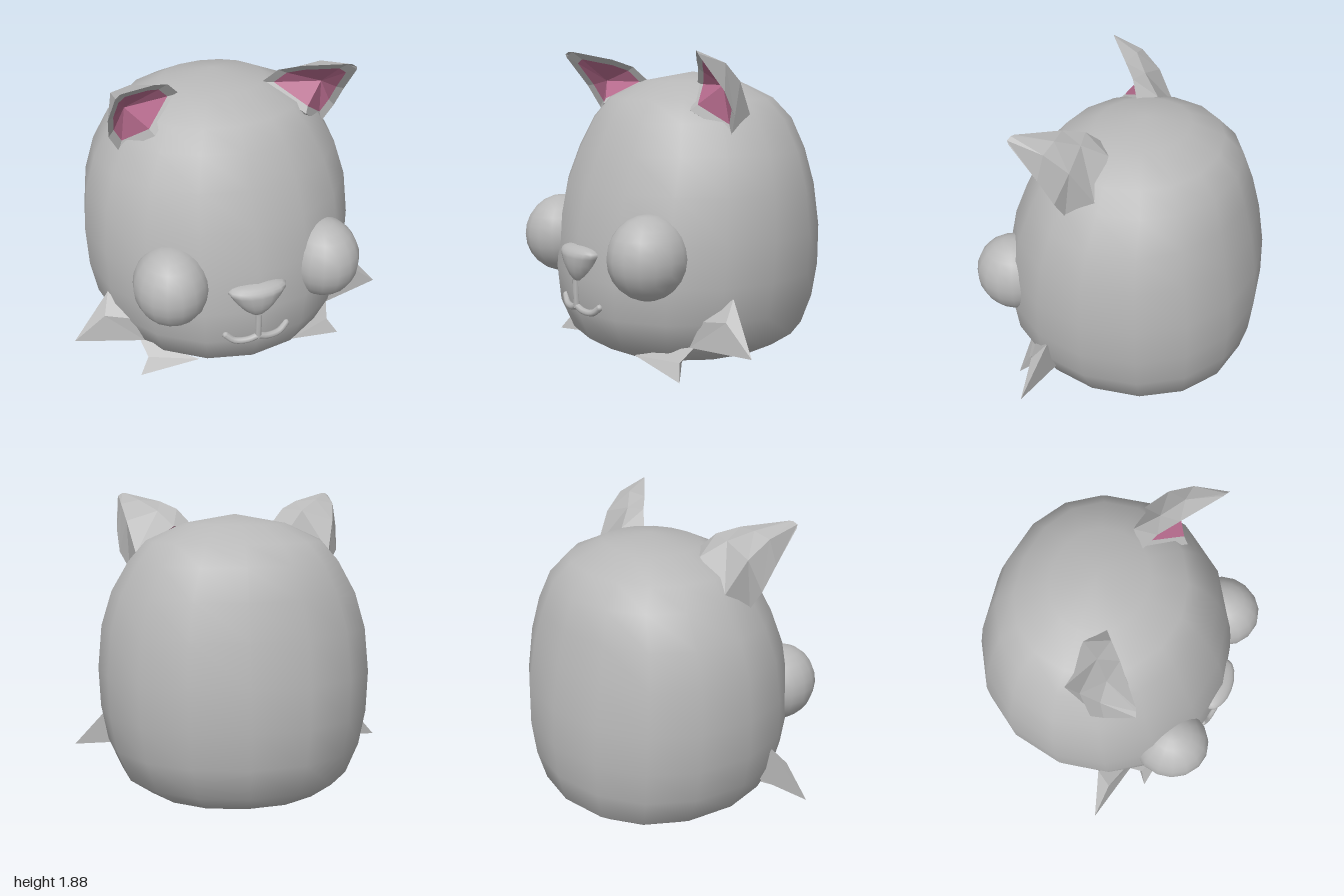
import * as THREE from 'three';

const grey = new THREE.MeshStandardMaterial({ color: 0xb8b8b8, side: THREE.DoubleSide });
grey.name = 'fur grey';
const pink = new THREE.MeshStandardMaterial({ color: 0xb56a8c, side: THREE.DoubleSide });
pink.name = 'ear pink';

function part(name, geometry, material = grey) {
  const mesh = new THREE.Mesh(geometry, material);
  mesh.name = name;
  return mesh;
}

// Flat-shaded triangles from corner points, mirrored in x when side is -1
function facets(triangles, side) {
  const pos = [];
  for (const t of triangles) {
    const corners = side > 0 ? t : [t[0], t[2], t[1]];
    for (const [x, y, z] of corners) pos.push(x * side, y, z);
  }
  const g = new THREE.BufferGeometry();
  g.setAttribute('position', new THREE.Float32BufferAttribute(pos, 3));
  g.computeVertexNormals();
  return g;
}

// Head: stacked oval rings [y, half width, front z, back z]
function headGeometry() {
  const rings = [
    [0, 0, -0.04, -0.04], [0.04, 0.33, 0.28, -0.4], [0.115, 0.56, 0.53, -0.64],
    [0.21, 0.7, 0.68, -0.755], [0.39, 0.78, 0.755, -0.8], [0.6, 0.82, 0.77, -0.82],
    [0.84, 0.83, 0.745, -0.81], [1.1, 0.805, 0.685, -0.765], [1.31, 0.74, 0.6, -0.71],
    [1.49, 0.635, 0.515, -0.65], [1.61, 0.53, 0.41, -0.535], [1.71, 0.31, 0.2, -0.345],
    [1.765, 0, -0.09, -0.09],
  ];
  const n = 16, pos = [], index = [];
  for (const [y, w, front, back] of rings) {
    const mid = (front + back) / 2, depth = (front - back) / 2;
    for (let j = 0; j < n; j++) {
      const a = (j / n) * Math.PI * 2, s = Math.sin(a), c = Math.cos(a);
      const p = c < -0.01 ? 0.93 : 1; // the back is slightly squarer
      pos.push(w * Math.sign(s) * Math.abs(s) ** p, y, mid + depth * Math.sign(c) * Math.abs(c) ** p);
    }
  }
  const last = rings.length - 1;
  const id = (i, j) => i * n + (i === 0 || i === last ? 0 : j % n);
  for (let i = 0; i < last; i++) {
    for (let j = 0; j < n; j++) {
      const a = id(i, j), b = id(i, j + 1), c = id(i + 1, j + 1), d = id(i + 1, j);
      if (i > 0) index.push(a, b, d);
      if (i < last - 1) index.push(b, c, d);
      else index.push(a, b, c);
      if (i === 0) index.push(a, c, d);
    }
  }
  const g = new THREE.BufferGeometry();
  g.setAttribute('position', new THREE.Float32BufferAttribute(pos, 3));
  g.setIndex(index);
  g.computeVertexNormals();
  return g;
}

// Nose: a ball with a flattened top, tapering to the bottom
function noseGeometry() {
  const g = new THREE.SphereGeometry(1, 16, 12);
  const p = g.attributes.position;
  for (let i = 0; i < p.count; i++) {
    const x = p.getX(i), y = p.getY(i), z = p.getZ(i);
    p.setXYZ(i, x * 0.163 * (1 + 0.45 * y), 0.72 + y * (y > 0 ? 0.065 : 0.16), 0.73 + z * 0.088);
  }
  g.computeVertexNormals();
  return g;
}

// Ear: folded shell, thick rim and recessed pink lining
function ear(side) {
  const group = new THREE.Group();
  group.name = side > 0 ? 'leftEar' : 'rightEar';
  // Sections from base to tip: inner edge, inner back, ridge, outer edge
  const sections = [
    [[0.25, 1.7, 0.07], [0.36, 1.69, -0.02], [0.59, 1.53, -0.04], [0.625, 1.42, 0.125]],
    [[0.33, 1.79, 0.13], [0.45, 1.78, 0.1], [0.64, 1.72, 0.08], [0.685, 1.53, 0.155]],
    [[0.43, 1.835, 0.22], [0.56, 1.845, 0.2], [0.67, 1.82, 0.21], [0.7, 1.67, 0.24]],
    [[0.64, 1.885, 0.39], [0.66, 1.885, 0.4], [0.685, 1.87, 0.41], [0.69, 1.85, 0.4]],
  ];
  const shell = [];
  for (let i = 0; i < 3; i++) {
    for (let j = 0; j < 3; j++) {
      const a = sections[i][j], b = sections[i][j + 1];
      const c = sections[i + 1][j + 1], d = sections[i + 1][j];
      shell.push([a, d, b], [b, d, c]);
    }
  }
  const lip = [0.45, 1.56, 0.28], under = [0.44, 1.52, 0.2];
  shell.push([sections[0][0], under, lip], [lip, under, sections[0][3]]);

  const loop = [lip, ...sections.map((s) => s[3]), ...sections.map((s) => s[0]).reverse()];
  const centre = [0.55, 1.69, 0.2], pit = [0.59, 1.7, 0.16];
  const inset = loop.map((p) => p.map((v, k) => centre[k] + (v - centre[k]) * 0.76 - (k === 2 ? 0.015 : 0)));
  const rim = [], lining = [];
  loop.forEach((p, i) => {
    const j = (i + 1) % loop.length;
    rim.push([p, loop[j], inset[i]], [loop[j], inset[j], inset[i]]);
    lining.push([inset[i], inset[j], pit]);
  });
  group.add(part('earShell', facets(shell, side)));
  group.add(part('earRim', facets(rim, side)));
  group.add(part('earLining', facets(lining, side), pink));
  return group;
}

// Cheek tufts: two pointed, faceted locks of fur
function cheekTufts(side) {
  const group = new THREE.Group();
  group.name = side > 0 ? 'leftCheekTufts' : 'rightCheekTufts';
  {
    const tip = [1, 0.27, 0.29], top = [0.765, 0.54, 0.22], ridge = [0.81, 0.43, 0.31];
    const front = [0.66, 0.41, 0.36], low = [0.59, 0.25, 0.39], back = [0.66, 0.3, 0.2];
    group.add(part('upperTuft', facets([
      [top, ridge, tip], [top, front, ridge], [ridge, low, tip], [front, low, ridge],
      [top, tip, back], [back, tip, low],
    ], side)));
  }
  {
    const tip = [0.65, 0.085, 0.505], top = [0.62, 0.26, 0.37], notch = [0.59, 0.175, 0.46];
    const inner = [0.3, 0.165, 0.565], back = [0.48, 0.13, 0.36];
    group.add(part('lowerTuft', facets([
      [top, inner, notch], [notch, inner, tip],
      [top, notch, back], [notch, tip, back], [back, tip, inner],
    ], side)));
  }
  return group;
}

function tube(points, radius) {
  const curve = new THREE.CatmullRomCurve3(points.map((p) => new THREE.Vector3(...p)));
  return new THREE.TubeGeometry(curve, 10, radius, 8);
}

export function createModel() {
  const model = new THREE.Group();
  model.name = 'catHead';
  model.add(part('head', headGeometry()));
  model.add(part('nose', noseGeometry()));
  model.add(part('mouthLine', tube([[0, 0.58, 0.765], [0, 0.5, 0.765], [0, 0.415, 0.762]], 0.02)));

  for (const side of [1, -1]) {
    const eye = part(side > 0 ? 'leftEye' : 'rightEye', new THREE.SphereGeometry(1, 16, 12));
    eye.scale.set(0.218, 0.24, 0.238);
    eye.position.set(0.465 * side, 0.768, 0.578);
    model.add(eye);

    // Mouth corner with a rounded end
    const end = [0.188 * side, 0.445, 0.725];
    model.add(part('mouthCorner', tube([[0, 0.425, 0.762], [0.06 * side, 0.405, 0.757],
      [0.14 * side, 0.408, 0.742], end], 0.02)));
    const cap = part('mouthEnd', new THREE.SphereGeometry(0.02, 8, 6));
    cap.position.set(...end);
    model.add(cap);

    model.add(ear(side), cheekTufts(side));
  }
  return model;
}
